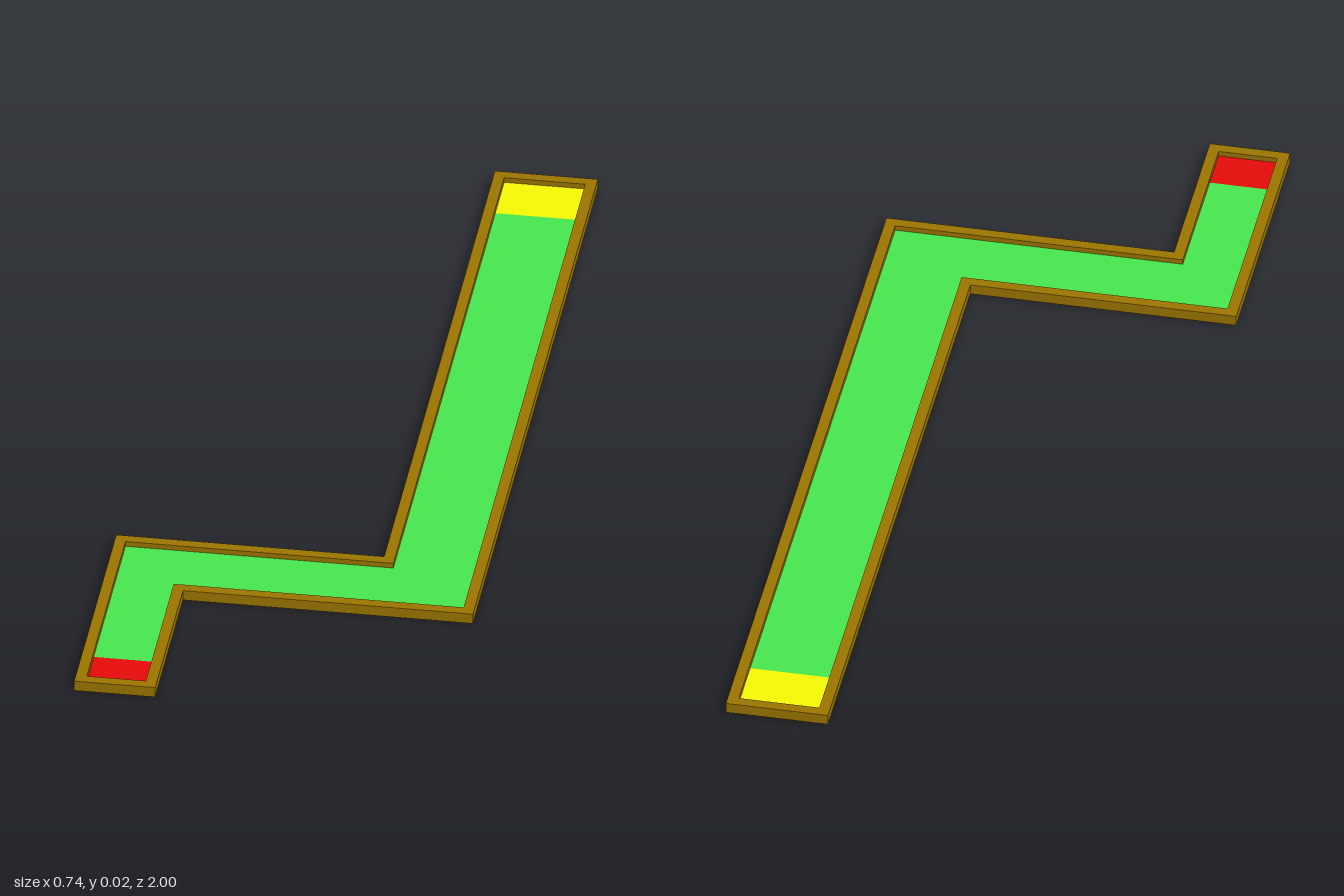
import * as THREE from 'three';

const HEIGHT = 0.022; // wall height
const WALL = 0.022;   // wall thickness
const FLOOR_Y = 0.011;

// Flat outline from [x, z] corners, to be laid down with rotateX(-90 degrees)
const outline = (corners) => new THREE.Shape(corners.map(([x, z]) => new THREE.Vector2(x, -z)));

// Corners of the zigzag lane, moved inwards by d
const lane = (d) => [
  [0.165 + d, -1 + d], [0.371 - d, -1 + d], [0.371 - d, 0.635 - d], [-0.209 - d, 0.635 - d],
  [-0.209 - d, 1 - d], [-0.371 + d, 1 - d], [-0.371 + d, 0.45 + d], [0.165 + d, 0.45 + d],
];

export function createModel() {
  const group = new THREE.Group();

  const add = (name, geometry, color, y, side = THREE.FrontSide) => {
    geometry.rotateX(-Math.PI / 2);
    const material = new THREE.MeshStandardMaterial({ color, side });
    const mesh = new THREE.Mesh(geometry, material);
    mesh.name = name;
    mesh.position.y = y;
    group.add(mesh);
  };
  const addFloor = (name, corners, color) =>
    add(name, new THREE.ShapeGeometry(outline(corners)), color, FLOOR_Y, THREE.DoubleSide);

  // Border wall around the whole lane; the hole winds the other way so its walls face inwards
  const border = outline(lane(0));
  border.holes.push(outline(lane(WALL).reverse()));
  add('borderWall', new THREE.ExtrudeGeometry(border, { depth: HEIGHT, bevelEnabled: false }), 0x9d7600, 0);

  // Floor: the inner lane, cut short at both ends for the coloured zones
  const farZ = -0.862, nearZ = 0.888;
  const [a, b, c, d, e, f, g, h] = lane(WALL);
  addFloor('laneFloor', [[a[0], farZ], [b[0], farZ], c, d, [e[0], nearZ], [f[0], nearZ], g, h], 0x48e850);
  addFloor('farEndZone', [a, b, [b[0], farZ], [a[0], farZ]], 0xf8fb04);
  addFloor('nearEndZone', [[f[0], nearZ], [e[0], nearZ], e, f], 0xe80a0a);

  return group;
}
